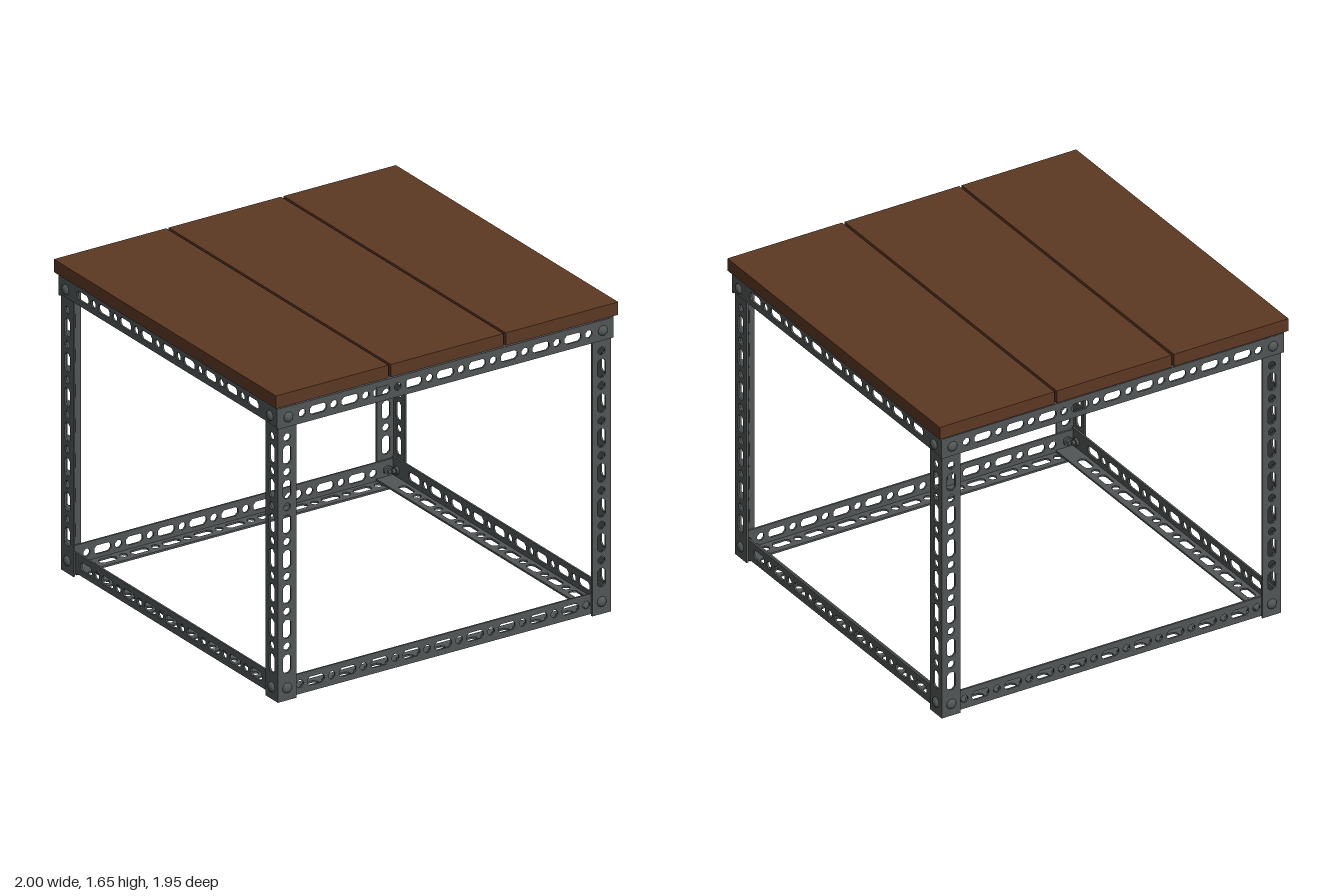
import * as THREE from 'three';

const FLANGE = 0.108; // flange width of the angle iron
const T = 0.01;       // flange thickness
const PITCH = 0.186;  // spacing of the long slots

// Elongated hole with pointed, chamfered ends
function slotPath(x, y, halfLen, halfH, cut) {
  const a = halfLen, b = halfH, c = cut;
  return new THREE.Path([
    [-a, -b + c], [-a, b - c], [-a + c, b], [a - c, b],
    [a, b - c], [a, -b + c], [a - c, -b], [-a + c, -b],
  ].map(([px, py]) => new THREE.Vector2(x + px, y + py)));
}

// Perforated flat strip along x, from y = 0 to FLANGE, outer face at z = 0
function flangeGeometry(length, shift) {
  const h = length / 2;
  const shape = new THREE.Shape([
    new THREE.Vector2(-h, 0), new THREE.Vector2(h, 0),
    new THREE.Vector2(h, FLANGE), new THREE.Vector2(-h, FLANGE),
  ]);
  for (let i = -11; i <= 11; i++) {
    const x = shift + (i * PITCH) / 2;
    const long = i % 2 === 0;
    const half = long ? 0.049 : 0.02;
    if (Math.abs(x) + half > h - 0.105) continue;
    shape.holes.push(slotPath(x, FLANGE / 2, half, long ? 0.023 : 0.02, long ? 0.014 : 0.013));
  }
  const g = new THREE.ExtrudeGeometry(shape, { depth: T, bevelEnabled: false });
  g.translate(0, 0, -T);
  return g;
}

export function createModel() {
  const model = new THREE.Group();
  model.name = 'slottedAngleTable';
  const steel = new THREE.MeshStandardMaterial({ color: 0x515656 });
  steel.name = 'dark steel';
  const wood = new THREE.MeshStandardMaterial({ color: 0x5c3823 });
  wood.name = 'brown wood';

  // L-section: outer corner on the x axis, flanges towards +y and -z
  function angleIron(name, length, shift = 0) {
    const group = new THREE.Group();
    group.name = name;
    const geo = flangeGeometry(length, shift);
    const upright = new THREE.Mesh(geo, steel);
    upright.name = 'uprightFlange';
    const flat = new THREE.Mesh(geo, steel);
    flat.name = 'flatFlange';
    flat.rotation.x = -Math.PI / 2;
    flat.position.y = T;
    group.add(upright, flat);
    return group;
  }

  // Bolt pointing along +z with a domed head, shank and inner hex nut
  const headGeo = new THREE.SphereGeometry(0.027, 14, 6, 0, Math.PI * 2, 0, Math.PI / 2);
  headGeo.scale(1, 0.6, 1).rotateX(Math.PI / 2);
  const shankGeo = new THREE.CylinderGeometry(0.012, 0.012, 0.05, 10);
  shankGeo.rotateX(Math.PI / 2).translate(0, 0, -0.024);
  const nutGeo = new THREE.CylinderGeometry(0.024, 0.024, 0.014, 6);
  nutGeo.rotateX(Math.PI / 2).translate(0, 0, -0.027);
  function bolt(x, y, z) {
    const group = new THREE.Group();
    group.name = 'bolt';
    for (const [name, geo] of [['boltHead', headGeo], ['boltShank', shankGeo], ['nut', nutGeo]]) {
      const m = new THREE.Mesh(geo, steel);
      m.name = name;
      group.add(m);
    }
    group.position.set(x, y, z);
    return group;
  }

  // Four sides: even = front/back, odd = right/left
  const names = ['front', 'left', 'back', 'right'];
  const legX = 0.973, legZ = 0.948;
  names.forEach((side, i) => {
    const across = i % 2 === 0;
    const half = across ? legX : legZ;   // half width of this side
    const out = across ? legZ : legX;    // distance of the leg face
    const frame = new THREE.Group();
    frame.name = side + 'Frame';
    frame.rotation.y = (i * Math.PI) / 2;

    // Top rail outside the legs, flat flange uppermost
    const top = angleIron(side + 'TopRail', 2 * half + 0.018);
    top.rotation.x = -Math.PI / 2;
    top.position.set(0, across ? 1.57 : 1.581, out + T);

    // Bottom rail inside the legs, flat flange lowest
    const bottom = angleIron(side + 'BottomRail', 2 * half - 0.022);
    bottom.position.set(0, across ? 0.01 : 0.021, out - T);
    frame.add(top, bottom);

    for (const s of [-1, 1]) {
      frame.add(bolt(s * (half - FLANGE / 2), 1.515, out + T));
      frame.add(bolt(s * (half - FLANGE / 2), 0.066, out));
    }
    model.add(frame);
  });

  // Corner legs with the corner of the section outwards
  const corners = [[1, 1], [1, -1], [-1, -1], [-1, 1]];
  corners.forEach(([sx, sz], i) => {
    const leg = new THREE.Group();
    leg.name = (sz > 0 ? 'front' : 'back') + (sx > 0 ? 'Left' : 'Right') + 'Leg';
    const iron = angleIron('legAngle', 1.56, -0.028);
    iron.rotation.z = Math.PI / 2;
    leg.add(iron);
    leg.rotation.y = (i * Math.PI) / 2;
    leg.position.set(sx * legX, 0.78, sz * legZ);
    model.add(leg);
  });

  // Three planks with narrow gaps
  const plankGeo = new THREE.BoxGeometry(0.657, 0.068, 1.945);
  for (let i = -1; i <= 1; i++) {
    const plank = new THREE.Mesh(plankGeo, wood);
    plank.name = 'plank';
    plank.position.set(i * 0.6715, 1.618, 0);
    model.add(plank);
  }
  return model;
}
